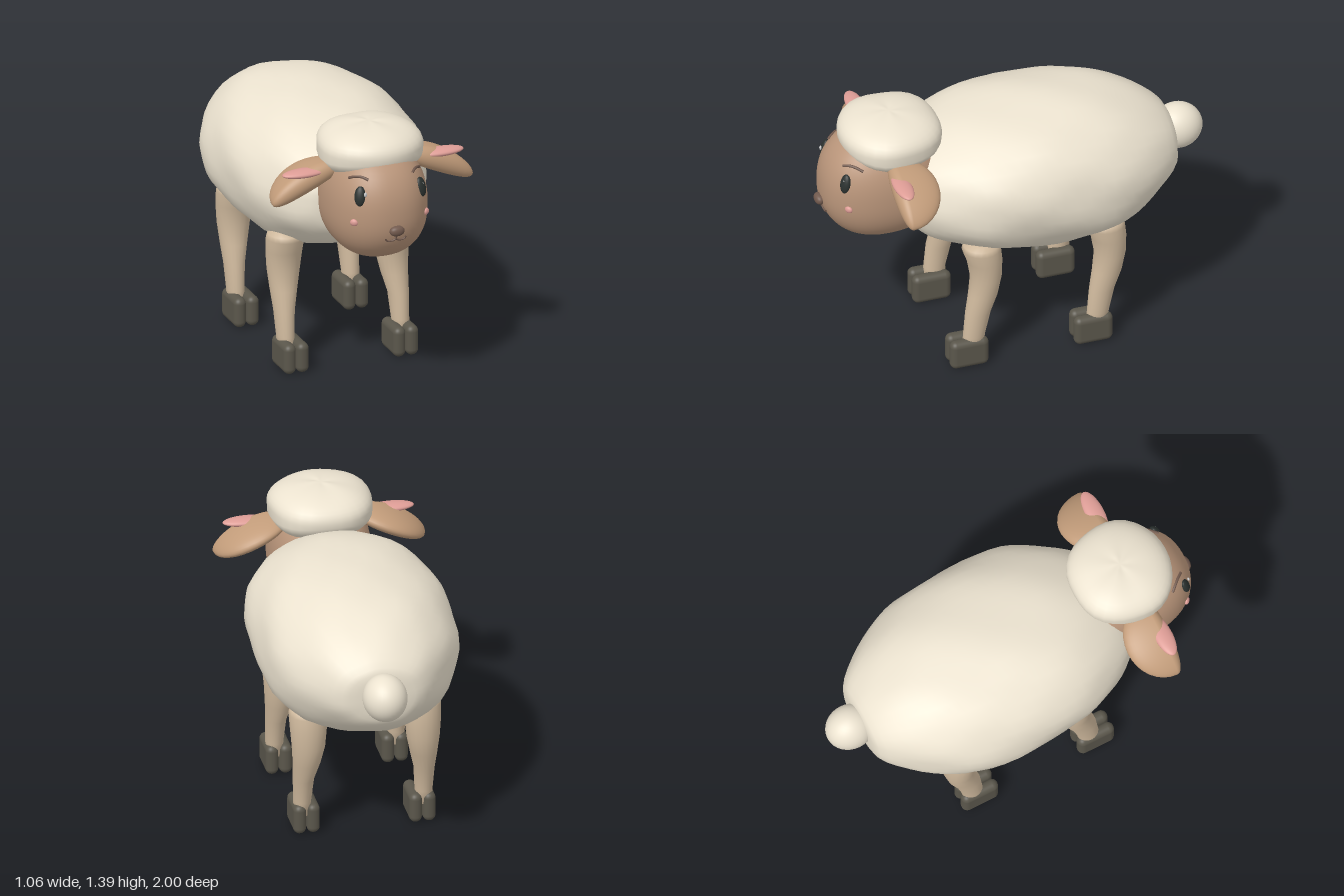
import * as THREE from 'three';
import { mergeVertices } from 'three/addons/utils/BufferGeometryUtils.js';
import { RoundedBoxGeometry } from 'three/addons/geometries/RoundedBoxGeometry.js';

const paint = (color) => new THREE.MeshStandardMaterial({ color });
const WOOL = paint(0xece3d0), FACE = paint(0xb9957a), LEG = paint(0xcfb99d), EAR = paint(0xc29c7a);
const HOOF = paint(0x5a564b), PINK = paint(0xdd9c95), DARK = paint(0x2b312f);
const BROWN = paint(0x725a4e), WHITE = paint(0xffffff);

function add(parent, name, geometry, material, x = 0, y = 0, z = 0) {
  const mesh = new THREE.Mesh(geometry, material);
  mesh.name = name;
  mesh.position.set(x, y, z);
  parent.add(mesh);
  return mesh;
}

// Rounded form: n = 2 is an ellipsoid, higher n is boxier; bend(v) moves each vertex afterwards
function blob(rx, ry, rz, n = 2, bend = null, seg = 32) {
  let g = new THREE.SphereGeometry(1, seg, Math.round(seg * 0.7));
  g.deleteAttribute('uv');
  g.deleteAttribute('normal');
  g = mergeVertices(g);
  const p = g.attributes.position, v = new THREE.Vector3();
  for (let i = 0; i < p.count; i++) {
    v.fromBufferAttribute(p, i);
    const s = Math.abs(v.x) ** n + Math.abs(v.y) ** n + Math.abs(v.z) ** n;
    v.multiplyScalar(s ** (-1 / n));
    v.set(v.x * rx, v.y * ry, v.z * rz);
    if (bend) bend(v);
    p.setXYZ(i, v.x, v.y, v.z);
  }
  g.computeVertexNormals();
  return g;
}

// Closed smooth skin over rings of points
function loft(rings) {
  const n = rings[0].length, pos = [], idx = [];
  for (const ring of rings) for (const q of ring) pos.push(q.x, q.y, q.z);
  for (let i = 0; i < rings.length - 1; i++) {
    for (let j = 0; j < n; j++) {
      const k = (j + 1) % n, a = i * n + j, b = i * n + k;
      idx.push(a, b, b + n, a, b + n, a + n);
    }
  }
  [rings[0], rings[rings.length - 1]].forEach((ring, end) => {
    const c = ring.reduce((s, q) => s.add(q), new THREE.Vector3()).divideScalar(n);
    const ci = pos.length / 3, o = end ? (rings.length - 1) * n : 0;
    pos.push(c.x, c.y, c.z);
    for (let j = 0; j < n; j++) {
      const k = (j + 1) % n;
      if (end) idx.push(ci, o + j, o + k);
      else idx.push(ci, o + k, o + j);
    }
  });
  const g = new THREE.BufferGeometry();
  g.setAttribute('position', new THREE.Float32BufferAttribute(pos, 3));
  g.setIndex(idx);
  g.computeVertexNormals();
  return g;
}

// Gentle uneven swelling for the fleece
const lumps = (a, z) => 0.011 * Math.sin(3 * a + 7 * z) + 0.009 * Math.sin(7 * a - 11 * z + 1)
  + 0.006 * Math.sin(11 * a + 17 * z);

function bodyGeometry() {
  // z, half width, top, bottom
  const stations = [
    [-0.83, 0.09, 1.02, 0.86], [-0.81, 0.2, 1.09, 0.78], [-0.7, 0.31, 1.18, 0.69],
    [-0.55, 0.41, 1.25, 0.61], [-0.4, 0.47, 1.29, 0.575], [-0.2, 0.495, 1.315, 0.555],
    [0, 0.495, 1.315, 0.565], [0.2, 0.47, 1.29, 0.595], [0.35, 0.41, 1.245, 0.645],
    [0.48, 0.33, 1.18, 0.7], [0.55, 0.25, 1.12, 0.77], [0.57, 0.1, 1.03, 0.85]];
  const sides = new THREE.CatmullRomCurve3(stations.map(([z, w, t]) => new THREE.Vector3(z, w, t)));
  const under = new THREE.CatmullRomCurve3(stations.map(([z, w, t, b]) => new THREE.Vector3(z, w, b)));
  const rings = [];
  for (let i = 0; i <= 33; i++) {
    const s = sides.getPoint(i / 33), bottom = under.getPoint(i / 33).z;
    const mid = (s.z + bottom) / 2, h = (s.z - bottom) / 2, ring = [];
    for (let j = 0; j < 40; j++) {
      const a = (j / 40) * Math.PI * 2, c = Math.cos(a), d = Math.sin(a);
      const r = (Math.abs(c) ** 2.15 + Math.abs(d) ** 2.15) ** (-1 / 2.15) * (1 + lumps(a, s.x));
      ring.push(new THREE.Vector3(s.y * c * r, mid + h * d * r, s.x));
    }
    rings.push(ring);
  }
  return loft(rings);
}

function legGeometry() {
  // y, centre x, centre z, half width, half depth
  const stations = [
    [0.1, 0.303, 0.283, 0.043, 0.054], [0.17, 0.304, 0.278, 0.044, 0.055],
    [0.3, 0.302, 0.257, 0.052, 0.064], [0.4, 0.293, 0.228, 0.068, 0.074],
    [0.5, 0.287, 0.211, 0.083, 0.078], [0.6, 0.286, 0.218, 0.092, 0.088],
    [0.67, 0.286, 0.234, 0.095, 0.097], [0.695, 0.286, 0.235, 0.088, 0.09],
    [0.715, 0.286, 0.235, 0.06, 0.06]];
  return loft(stations.map(([y, x, z, w, d]) => Array.from({ length: 20 }, (_, j) => {
    const a = (j / 20) * Math.PI * 2;
    return new THREE.Vector3(x + w * Math.sin(a), y, z + d * Math.cos(a));
  })));
}

// Front surface of the head, for placing the features
const HEAD = { y: 1, z: 0.66, rx: 0.252, up: 0.31, down: 0.277, rz: 0.312, n: 2.3 };
function faceZ(x, y) {
  const ry = y > HEAD.y ? HEAD.up : HEAD.down;
  const s = 1 - (Math.abs(x) / HEAD.rx) ** HEAD.n - (Math.abs(y - HEAD.y) / ry) ** HEAD.n;
  return HEAD.z + HEAD.rz * Math.max(s, 0) ** (1 / HEAD.n);
}
function faceLine(points, radius) {
  const path = points.map(([x, y]) => new THREE.Vector3(x, y, faceZ(x, y) + 0.004));
  return new THREE.TubeGeometry(new THREE.CatmullRomCurve3(path), 20, radius, 8);
}

export function createModel() {
  const model = new THREE.Group();
  model.name = 'sheep';
  add(model, 'fleeceBody', bodyGeometry(), WOOL);
  add(model, 'tail', blob(0.11, 0.118, 0.125), WOOL, 0, 0.96, -0.875);

  // Head and woolly cap
  const head = new THREE.Group();
  head.name = 'head';
  model.add(head);
  add(head, 'face', blob(HEAD.rx, HEAD.up, HEAD.rz, HEAD.n, (v) => {
    if (v.y < 0) v.y *= HEAD.down / HEAD.up;
  }, 48), FACE, 0, HEAD.y, HEAD.z);
  add(head, 'woolCap', blob(0.257, 0.116, 0.253, 2.25, (v) => {
    const a = Math.atan2(v.z, v.x);
    v.multiplyScalar(1 + 0.012 * Math.sin(5 * a + 9 * v.y) + 0.008 * Math.sin(3 * a + 20 * v.y));
    if (v.y < 0) v.y -= 0.03 * (1 - (v.z / 0.27) ** 2);
  }), WOOL, 0, 1.276, 0.615);

  // Nose and mouth
  add(head, 'nose', blob(0.038, 0.026, 0.024, 2.2), BROWN, 0, 0.942, 0.976);
  add(head, 'mouthStem', faceLine([[0, 0.925], [0, 0.91], [0, 0.893]], 0.004), BROWN);

  for (const s of [1, -1]) {
    const side = s > 0 ? 'left' : 'right';
    add(head, side + 'Mouth', faceLine(
      [[0, 0.895], [s * 0.015, 0.887], [s * 0.038, 0.886], [s * 0.05, 0.893], [s * 0.054, 0.904]], 0.0045), BROWN);
    add(head, side + 'Brow', faceLine(
      [[s * 0.115, 1.197], [s * 0.14, 1.206], [s * 0.165, 1.202], [s * 0.187, 1.19]], 0.007), BROWN);

    // Eyes and cheeks
    const eye = add(head, side + 'Eye', blob(0.028, 0.05, 0.018), DARK, s * 0.162, 1.12, faceZ(0.162, 1.12) - 0.002);
    eye.rotation.set(-0.3, s * 0.55, s * 0.16);
    const gx = s * 0.154 + 0.01;
    add(head, side + 'EyeGlint', blob(0.008, 0.012, 0.006, 2, null, 12), WHITE, gx, 1.135, faceZ(gx, 1.135) + 0.014);
    add(head, side + 'Cheek', blob(0.021, 0.018, 0.013, 2, null, 16), PINK,
      s * 0.19, 0.982, faceZ(0.19, 0.982)).rotation.y = s * 0.7;

    // Ears: flat along the front, rounded behind, drooping outwards
    const ear = add(head, side + 'Ear', blob(0.205, 0.058, 0.18, 2, (v) => {
      if (v.z > 0) v.z *= 0.3;
      v.z += 0.15 * Math.max(0, s * v.x) ** 2;
      v.y -= 0.5 * v.x * v.x;
    }), EAR, s * 0.35, 1.142, 0.655);
    ear.rotation.z = -s * 0.42;
    add(head, side + 'InnerEar', blob(0.118, 0.021, 0.046), PINK, s * 0.361, 1.188, 0.665);
  }

  // Four legs with cloven hooves
  const legShape = legGeometry();
  const toeShape = new RoundedBoxGeometry(0.064, 0.155, 0.197, 5, 0.031);
  for (const s of [1, -1]) {
    for (const [place, z] of [['Front', 0], ['Back', -0.64]]) {
      const leg = new THREE.Group();
      leg.name = (s > 0 ? 'left' : 'right') + place + 'Leg';
      leg.position.z = z;
      model.add(leg);
      // Mirrored by shifting: the leg is symmetric about its own centre line
      const shank = add(leg, 'shank', legShape, LEG);
      shank.scale.x = s;
      add(leg, 'outerToe', toeShape, HOOF, s * 0.324, 0.083, 0.31);
      add(leg, 'innerToe', toeShape, HOOF, s * 0.256, 0.083, 0.31);
    }
  }
  return model;
}
